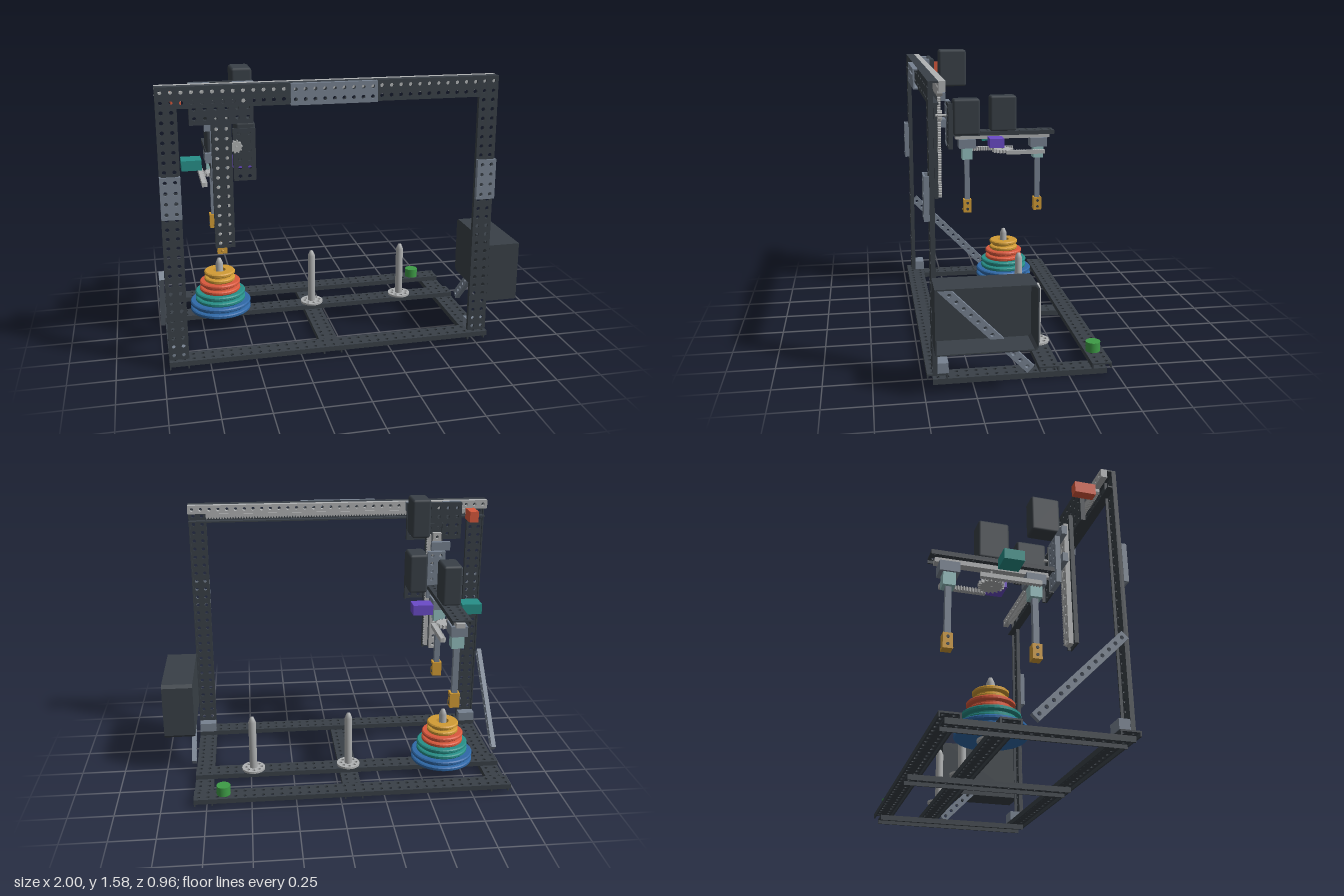
import * as THREE from 'three';
import { mergeGeometries } from 'three/addons/utils/BufferGeometryUtils.js';
import { RoundedBoxGeometry } from 'three/addons/geometries/RoundedBoxGeometry.js';

const PITCH = 0.0512, Q = Math.PI / 2;

export function createModel() {
  const root = new THREE.Group();
  root.name = 'ringStackingGantry';
  const mat = (name, color) => Object.assign(new THREE.MeshStandardMaterial({ color }), { name });
  const dark = mat('charcoal', 0x394047), steel = mat('blue steel', 0x778291), light = mat('light grey', 0xb0b2b3);
  const blue = mat('blue', 0x2f69a8), teal = mat('teal', 0x278f88), red = mat('red', 0xd9593d);
  const yellow = mat('amber', 0xd29c35), green = mat('green', 0x3e9c46), purple = mat('purple', 0x6b4bc8);
  const pale = mat('pale teal', 0x93bfbf);

  const add = (name, geo, m, pos = [0, 0, 0], rot = [0, 0, 0]) => {
    const mesh = new THREE.Mesh(geo, m);
    mesh.name = name;
    mesh.position.set(...pos);
    mesh.rotation.set(...rot);
    root.add(mesh);
    return mesh;
  };
  // box given by its min and max on each axis
  const box = (name, m, x0, x1, y0, y1, z0, z1, r = 0) => {
    const s = [x1 - x0, y1 - y0, z1 - z0];
    return add(name, r ? new RoundedBoxGeometry(...s, 1, r) : new THREE.BoxGeometry(...s), m,
      [(x0 + x1) / 2, (y0 + y1) / 2, (z0 + z1) / 2]);
  };
  const extrude = (shape, depth, seg = 4) => new THREE.ExtrudeGeometry(shape, { depth, bevelEnabled: false, curveSegments: seg })
    .translate(0, 0, -depth / 2).toNonIndexed?.() ?? null;
  const rectShape = (w, h) => new THREE.Shape([[-1, -1], [1, -1], [1, 1], [-1, 1]].map(([a, b]) => new THREE.Vector2(a * w / 2, b * h / 2)));
  const circle = (x, y, r) => new THREE.Path().absarc(x, y, r, 0, Math.PI * 2, true);

  // perforated bar, length on x, face on +z; a depth larger than its plate gives side flanges
  function bar(len, wid, depth, rows = 2, flanged = true) {
    const t = flanged ? 0.009 : depth, shape = rectShape(len, wid);
    const n = Math.max(1, Math.round(len / PITCH));
    for (let i = 0; i < n; i++) for (let j = 0; j < rows; j++)
      shape.holes.push(circle((i - (n - 1) / 2) * len / n, (j - (rows - 1) / 2) * PITCH, 0.0105));
    const plate = new THREE.ExtrudeGeometry(shape, { depth: t, bevelEnabled: false, curveSegments: 8 }).translate(0, 0, depth / 2 - t);
    if (!flanged) return plate;
    const sides = [-1, 1].map(s => new THREE.BoxGeometry(len, 0.008, depth).toNonIndexed().translate(0, s * (wid / 2 - 0.004), 0));
    return mergeGeometries([plate, ...sides]);
  }
  // toothed wheel with its axis on z
  function gear(r, teeth, depth) {
    const pts = [];
    for (let i = 0; i < teeth * 4; i++) {
      const a = i / (teeth * 4) * Math.PI * 2, q = i % 4 < 2 ? r : r * 0.8;
      pts.push(new THREE.Vector2(Math.cos(a) * q, Math.sin(a) * q));
    }
    return extrude(new THREE.Shape(pts), depth);
  }
  // toothed rack, length on x, teeth towards +y
  function rack(len, h, depth) {
    const n = Math.round(len / 0.016), s = len / n, pts = [[-len / 2, -h / 2], [len / 2, -h / 2]];
    for (let i = n; i > 0; i--) {
      const x = -len / 2 + i * s;
      pts.push([x, h * 0.1], [x - s * 0.35, h / 2], [x - s * 0.65, h / 2]);
    }
    pts.push([-len / 2, h * 0.1]);
    return extrude(new THREE.Shape(pts.map(p => new THREE.Vector2(...p))), depth);
  }

  // base frame: three lower beams front to back, three upper beams side to side
  const W = 0.105;
  for (const x of [-0.917, -0.075, 0.768]) add('baseCrossBeam', bar(0.9, W, 0.03), dark, [x, 0.015, 0], [-Q, 0, Q]);
  for (const z of [0.427, -0.147, -0.425]) add('baseLongBeam', bar(1.79, W, 0.028), dark, [-0.075, 0.044, z], [-Q, 0, 0]);

  // uprights with splice plates, foot brackets and diagonal braces
  for (const s of [-1, 1]) {
    const x = -0.075 + s * 0.8425;
    add('upright', bar(1.46, W, 0.024), dark, [x, 0.788, 0.439], [0, 0, Q]);
    add('uprightSplice', bar(0.222, W, 0.027), steel, [x, 0.96, 0.465], [0, 0, Q]);
    box('footBracket', steel, x - 0.05, x + 0.05, 0.058, 0.112, 0.37, 0.427);
    add('diagonalBrace', bar(0.66, 0.05, 0.027, 1, false), steel, [-0.075 + s * 0.91, 0.297, 0.188], [-0.793, Q, 0]);
  }

  // top beam with its guide rail and rack
  add('topBeam', bar(1.79, 0.11, 0.05), dark, [-0.075, 1.465, 0.426]);
  add('topSplice', bar(0.45, 0.11, 0.027), steel, [-0.075, 1.465, 0.465]);
  add('topRail', bar(1.79, 0.05, 0.034, 1, false), light, [-0.075, 1.495, 0.384]);
  add('topRack', rack(1.58, 0.03, 0.028), light, [-0.075, 1.453, 0.385], [Math.PI, 0, 0]);
  box('endStop', red, -0.89, -0.838, 1.41, 1.475, 0.25, 0.366);

  // control box, open on its outer side
  const outline = new THREE.Shape([[-0.45, 0.23], [0.035, 0.23], [0.053, 0.248], [0.053, 0.547], [0.035, 0.565], [-0.45, 0.565]]
    .map(p => new THREE.Vector2(...p)));
  add('controlBoxBack', new THREE.ExtrudeGeometry(outline, { depth: 0.005, bevelEnabled: false }), dark, [0.821, 0, 0], [0, Q, 0]);
  const wall = outline.clone();
  wall.holes.push(new THREE.Path([[-0.443, 0.237], [-0.443, 0.558], [0.032, 0.558], [0.046, 0.544], [0.046, 0.251], [0.032, 0.237]]
    .map(p => new THREE.Vector2(...p))));
  add('controlBoxWalls', new THREE.ExtrudeGeometry(wall, { depth: 0.173, bevelEnabled: false }), dark, [0.826, 0, 0], [0, Q, 0]);

  // pegs on perforated round bases
  const PX = [-0.635, -0.075, 0.485], PZ = -0.147;
  for (const x of PX) {
    const disc = new THREE.Shape().absarc(0, 0, 0.067, 0, Math.PI * 2);
    for (let i = 0; i < 8; i++) disc.holes.push(circle(Math.cos(i * Q / 2) * 0.045, Math.sin(i * Q / 2) * 0.045, 0.01));
    add('pegBase', extrude(disc, 0.012, 16), light, [x, 0.064, PZ], [-Q, 0, 0]);
    const peg = [[0, 0], [0.022, 0], [0.022, 0.295], [0.01, 0.325], [0, 0.327]].map(p => new THREE.Vector2(...p));
    add('peg', new THREE.LatheGeometry(peg, 20), light, [x, 0.066, PZ]);
  }

  // stacked grooved rings
  [[0.179, blue], [0.148, teal], [0.12, red], [0.091, yellow]].forEach(([r, m], i) => {
    const p = [[0.036, 0], [r - 0.006, 0], [r, 0.006], [r, 0.018], [r - 0.006, 0.023], [r - 0.02, 0.026], [r - 0.02, 0.036],
      [r - 0.006, 0.039], [r, 0.044], [r, 0.055], [r - 0.006, 0.061], [0.036, 0.061], [0.036, 0]];
    const g = new THREE.LatheGeometry(p.map(q => new THREE.Vector2(...q)), 40).toNonIndexed();
    g.computeVertexNormals();
    add('ring', g, m, [PX[0], 0.073 + i * 0.0612, PZ]);
  });
  add('startButton', new THREE.CylinderGeometry(0.039, 0.039, 0.054, 24), green, [0.655, 0.084, -0.418]);

  // carriage running on the top rail
  const CX = -0.637;
  add('carriagePlate', bar(0.33, 0.22, 0.026, 4, false), dark, [CX, 1.41, 0.324]);
  for (const x of [-0.747, -0.525]) box('carriageSlider', steel, x - 0.054, x + 0.054, 1.47, 1.52, 0.337, 0.367);
  box('carriageMotor', dark, -0.575, -0.468, 1.355, 1.577, 0.113, 0.281, 0.014);
  add('carriagePinion', gear(0.03, 10, 0.026), light, [-0.522, 1.428, 0.384]);
  add('carriageShaft', new THREE.CylinderGeometry(0.008, 0.008, 0.14, 8), light, [-0.522, 1.428, 0.33], [Q, 0, 0]);

  // vertical mast with rail and rack
  add('mast', bar(0.78, W, 0.024), dark, [CX, 1.01, 0.298], [0, 0, Q]);
  add('mastRail', bar(0.73, 0.05, 0.026, 1, false), light, [CX - 0.012, 0.985, 0.273], [0, 0, Q]);
  add('mastRack', rack(0.7, 0.026, 0.02), light, [-0.6, 0.99, 0.273], [0, 0, -Q]);
  for (const y of [1.105, 1.275]) box('liftSlider', steel, -0.722, -0.61, y - 0.026, y + 0.026, 0.229, 0.259);
  add('liftPinion', gear(0.034, 10, 0.028), light, [-0.56, 1.165, 0.273]);
  add('liftShaft', new THREE.CylinderGeometry(0.008, 0.008, 0.12, 8), light, [-0.56, 1.165, 0.24], [Q, 0, 0]);
  add('liftPlate', bar(0.285, 0.12, 0.028), dark, [-0.51, 1.108, 0.215], [0, 0, Q]);
  add('liftBackPlate', bar(0.285, W, 0.028, 2, false), steel, [CX, 1.108, 0.215], [0, 0, Q]);
  box('liftMotor', dark, -0.55, -0.445, 1.052, 1.277, 0.03, 0.198, 0.014);

  // horizontal arm with its slide and motor
  add('arm', bar(0.665, W, 0.026), dark, [CX, 1.038, -0.14], [-Q, 0, Q]);
  box('armSlide', light, CX - 0.024, CX + 0.024, 0.999, 1.025, -0.448, 0.168);
  box('armMotor', dark, -0.69, -0.585, 1.05, 1.277, -0.225, -0.055, 0.014);
  box('leftSensor', purple, -0.556, -0.443, 0.968, 1.026, -0.122, -0.03);
  box('rightSensor', teal, -0.835, -0.722, 0.968, 1.026, -0.13, -0.02);

  // gripper pinion and its two opposed racks
  add('armPinion', gear(0.07, 18, 0.02), light, [CX, 0.918, -0.142], [Q, 0, 0]);
  add('armShaft', new THREE.CylinderGeometry(0.008, 0.008, 0.12, 8), light, [CX, 0.965, -0.142]);
  add('frontRack', rack(0.33, 0.03, 0.025), light, [-0.719, 0.918, -0.06], [Q, 0, -Q]);
  add('backRack', rack(0.25, 0.03, 0.025), light, [-0.555, 0.918, -0.277], [Q, 0, Q]);

  // two hanging grippers
  for (const z of [0.093, -0.372]) {
    box('gripperSlider', steel, CX - 0.045, CX + 0.045, 0.942, 1, z - 0.054, z + 0.054);
    box('gripperBlock', pale, CX - 0.034, CX + 0.034, 0.868, 0.942, z - 0.033, z + 0.033);
    box('gripperPost', steel, CX - 0.016, CX + 0.016, 0.595, 0.87, z - 0.016, z + 0.016);
    box('gripperClaw', yellow, CX - 0.027, CX + 0.027, 0.515, 0.6, z - 0.026, z + 0.026);
    add('gripperTip', new THREE.ConeGeometry(0.012, 0.012, 4), yellow, [CX, 0.533, z + 0.03], [Q, 0, 0]);
    for (const y of [0.538, 0.578])
      add('clawBolt', new THREE.CylinderGeometry(0.009, 0.009, 0.058, 10), dark, [CX, y, z], [0, 0, Q]);
  }
  return root;
}
